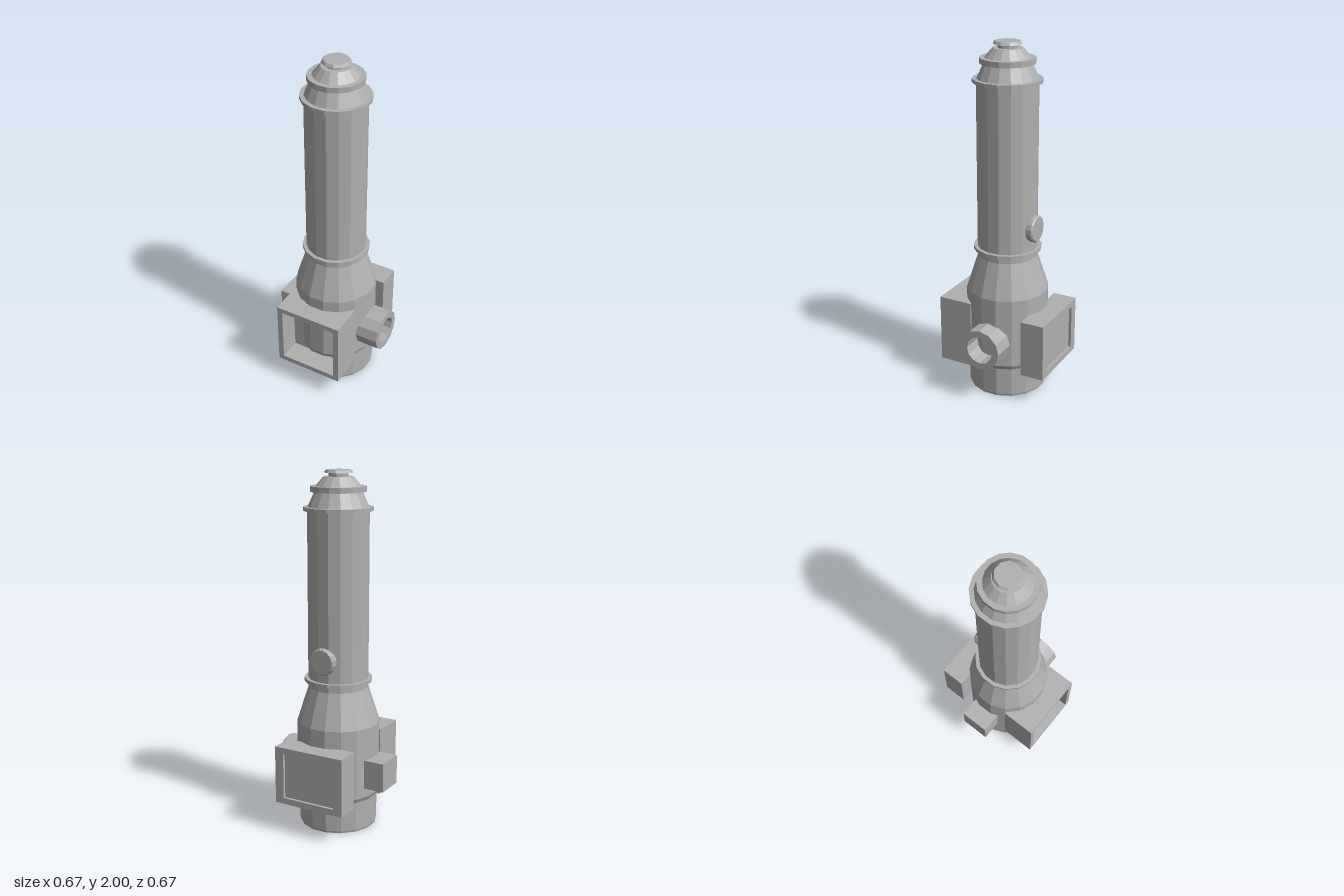
import * as THREE from 'three';

export function createModel() {
  const model = new THREE.Group();
  const grey = new THREE.MeshStandardMaterial({ color: 0xb0b0b0, flatShading: true });
  grey.name = 'grey';

  const add = (name, geometry, x = 0, y = 0, z = 0) => {
    const mesh = new THREE.Mesh(geometry, grey);
    mesh.name = name;
    mesh.position.set(x, y, z);
    model.add(mesh);
    return mesh;
  };

  // Faceted turned part; radii are measured to the middle of the flats
  const turned = (name, profile, sides = 16, start = Math.PI / sides) => {
    const k = 1 / Math.cos(Math.PI / sides);
    const points = profile.map(([r, y]) => new THREE.Vector2(r * k, y));
    return add(name, new THREE.LatheGeometry(points, sides, start));
  };

  const rect = (Type, w, h) => {
    const path = new Type();
    path.moveTo(-w / 2, -h / 2);
    path.lineTo(w / 2, -h / 2);
    path.lineTo(w / 2, h / 2);
    path.lineTo(-w / 2, h / 2);
    path.closePath();
    return path;
  };

  // Rectangular frame with an open middle, extruded along z
  const frame = (w, h, innerW, innerH, depth) => {
    const shape = rect(THREE.Shape, w, h);
    shape.holes.push(rect(THREE.Path, innerW, innerH));
    return new THREE.ExtrudeGeometry(shape, { depth, bevelEnabled: false });
  };

  // Main column: base, wide housing, shoulder and tall tube
  turned('column', [
    [0, 0], [0.214, 0], [0.217, 0.012], [0.217, 0.175], [0.229, 0.2],
    [0.229, 0.605], [0.166, 0.805], [0.166, 1.8], [0, 1.8],
  ]);

  // Thin flanges at both ends of the tube
  for (const [name, y] of [['lowerFlange', 0.838], ['upperFlange', 1.785]]) {
    turned(name, [[0.16, y], [0.187, y], [0.187, y + 0.02], [0.16, y + 0.02]]);
  }

  // Stepped top
  turned('topCone', [[0.166, 1.8], [0.125, 1.89], [0, 1.89]]);
  turned('topCollar', [[0.11, 1.885], [0.149, 1.885], [0.149, 1.915], [0, 1.915]]);
  turned('upperCone', [[0.122, 1.915], [0.08, 1.965], [0, 1.965]]);
  turned('capNeck', [[0.052, 1.96], [0.052, 1.987]], 10, Math.PI / 2);
  turned('cap', [[0, 1.985], [0.075, 1.985], [0.066, 2], [0, 2]], 10, Math.PI / 2);

  // Open intake box on the front, with a panel set deep inside
  add('frontBoxFrame', frame(0.4, 0.395, 0.334, 0.335, 0.2), 0, 0.3375, 0.132);
  add('frontBoxPanel', new THREE.BoxGeometry(0.34, 0.34, 0.07), 0, 0.3375, 0.17);

  // Rear box with a shallow recessed panel
  add('rearBox', new THREE.BoxGeometry(0.425, 0.33, 0.122), 0, 0.34, -0.256);
  add('rearBoxRim', frame(0.425, 0.33, 0.32, 0.26, 0.016), 0, 0.34, -0.333);

  // Side block
  add('sideBlock', new THREE.BoxGeometry(0.133, 0.166, 0.168), -0.2665, 0.338, 0);

  // Hollow side pipe
  const pipe = turned('sidePipe', [
    [0.08, 0], [0.08, 0.133], [0.12, 0.133], [0.12, 0], [0.08, 0],
  ].reverse().map(([r, y]) => [r * Math.cos(Math.PI / 12), y]), 12, 0);
  pipe.rotation.z = -Math.PI / 2;
  pipe.position.set(0.2, 0.337, 0);

  // Round port with a bevelled edge on the back of the tube
  const port = turned('rearPort', [
    [0.075, 0], [0.075, 0.032], [0.067, 0.04], [0, 0.04],
  ]);
  port.rotation.x = -Math.PI / 2;
  port.position.set(0, 0.98, -0.15);

  return model;
}
